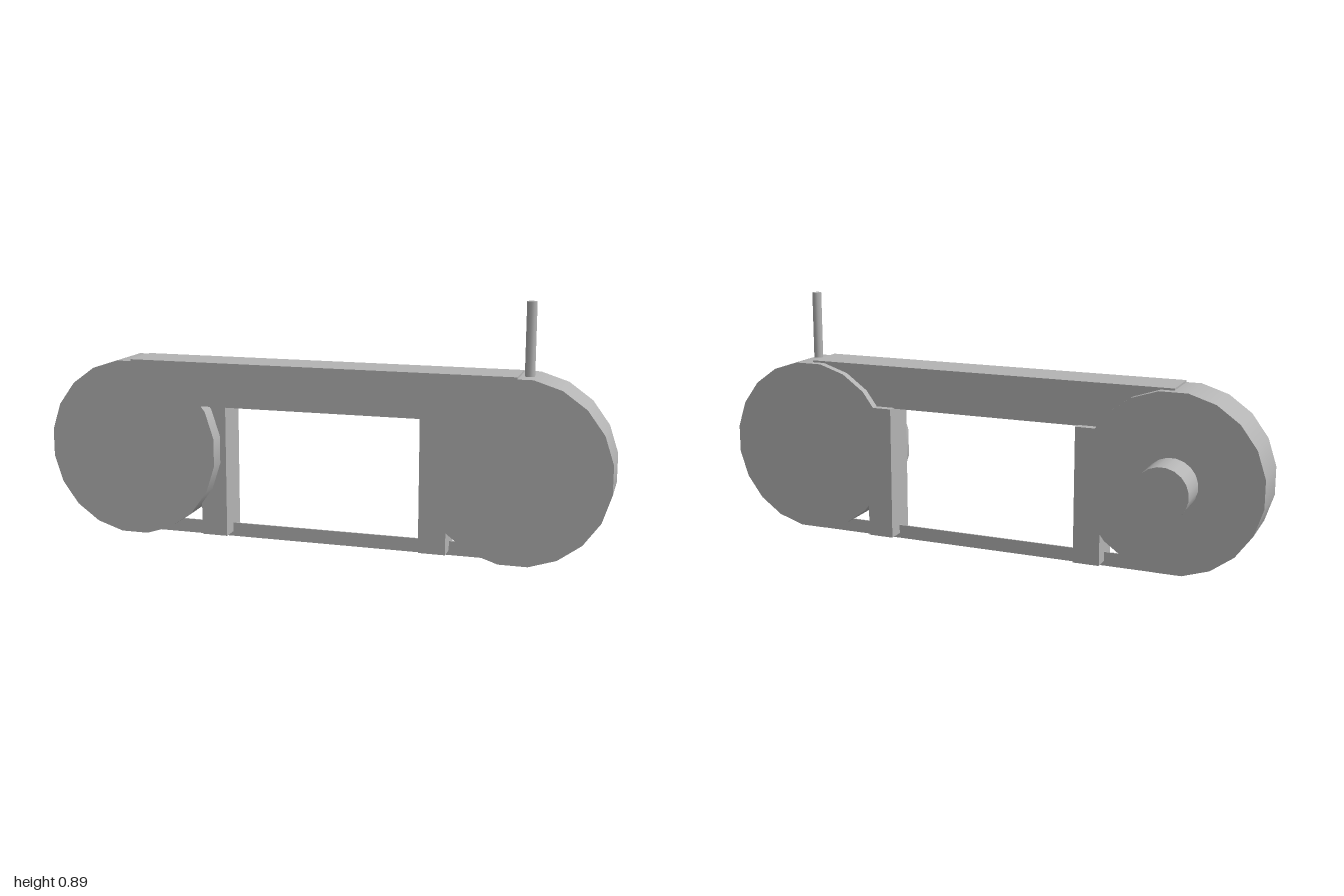
import * as THREE from 'three';

export function createModel() {
  const model = new THREE.Group();
  const grey = new THREE.MeshStandardMaterial({ color: 0xb4b4b4 });
  grey.name = 'plain grey';

  const add = (name, geometry, x, y, z) => {
    const mesh = new THREE.Mesh(geometry, grey);
    mesh.name = name;
    mesh.position.set(x, y, z);
    model.add(mesh);
  };
  // Cylinder along z, turned so that its flats face up, down and sideways
  const drum = (radius, depth, sides) =>
    new THREE.CylinderGeometry(radius, radius, depth, sides, 1, false, Math.PI / sides).rotateX(Math.PI / 2);

  // End drums and the posts beside them
  for (const [side, s] of [['left', 1], ['right', -1]]) {
    add(side + 'Drum', drum(0.317, 0.19, 20), s * 0.686, 0.335, 0.065);
    add(side + 'Post', new THREE.BoxGeometry(0.095, 0.485, 0.13), s * 0.3985, 0.2605, 0.035);
  }

  // Beam across the top and thin rail along the bottom
  add('topBeam', new THREE.BoxGeometry(1.366, 0.155, 0.16), 0, 0.5775, 0.08);
  add('bottomRail', new THREE.BoxGeometry(1.366, 0.05, 0.005), 0, 0.025, 0.033);

  // Knob on the back and upright pin
  add('backKnob', drum(0.093, 0.13, 20), -0.688, 0.335, -0.095);
  add('pin', new THREE.CylinderGeometry(0.017, 0.017, 0.245, 10), 0.715, 0.7725, 0.096);

  return model;
}
